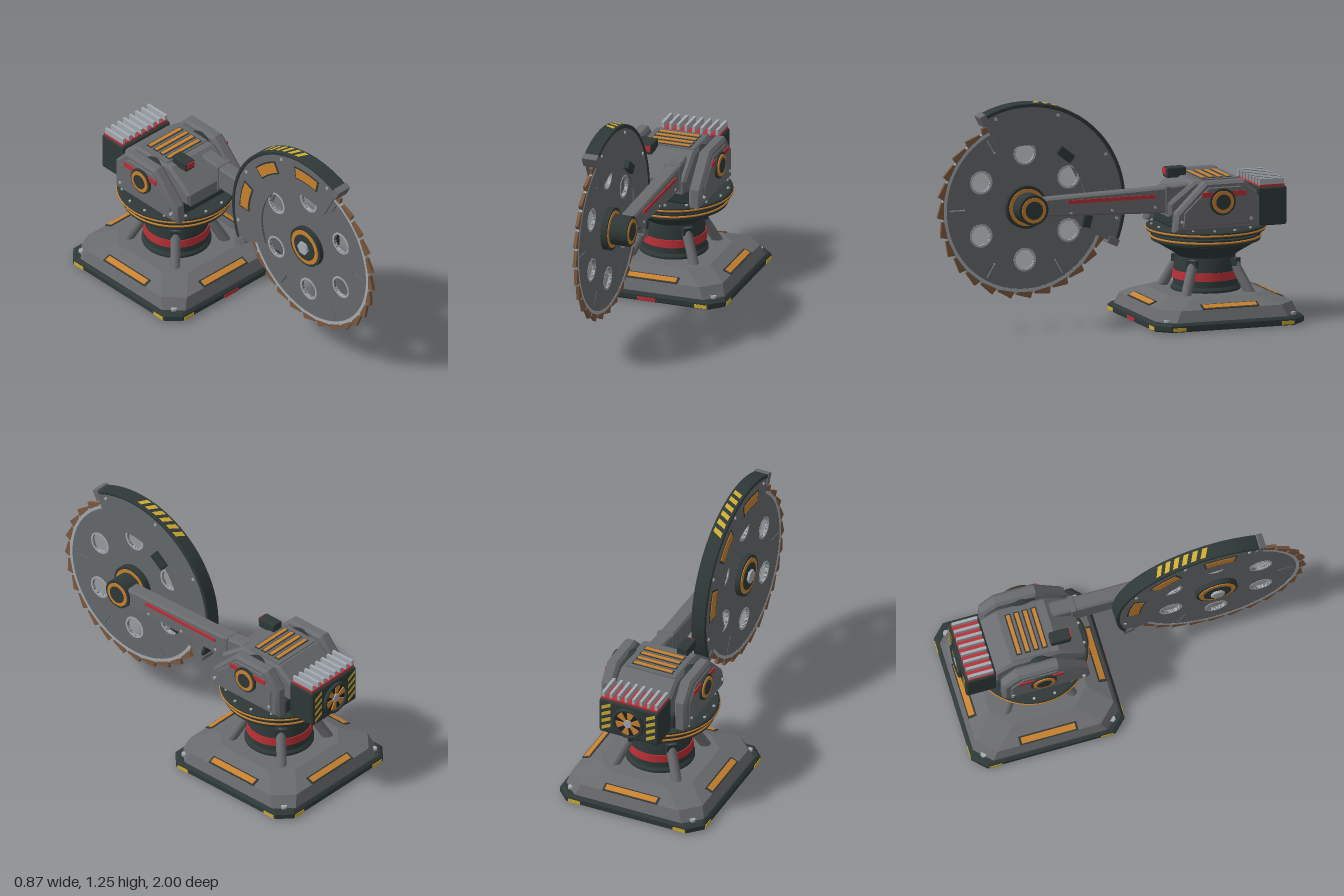
import * as THREE from 'three';
import { toCreasedNormals } from 'three/addons/utils/BufferGeometryUtils.js';
import { RoundedBoxGeometry } from 'three/addons/geometries/RoundedBoxGeometry.js';

const PI = Math.PI;
const mat = (name, color, side = THREE.FrontSide) => Object.assign(new THREE.MeshStandardMaterial({ color, side }), { name });
const grey = mat('body grey', 0x6a6b6e), dark = mat('dark steel', 0x2f3838), steel = mat('blade steel', 0x66696c);
const light = mat('light metal', 0xa4abb2), orange = mat('orange', 0xc9812f), red = mat('red', 0xb83036);
const yellow = mat('hazard yellow', 0xcdab30, THREE.DoubleSide), brown = mat('carbide brown', 0x7c5a40), black = mat('black', 0x1b2022);

function add(parent, name, geo, material, x = 0, y = 0, z = 0) {
  const m = new THREE.Mesh(geo, material);
  m.name = name;
  m.position.set(x, y, z);
  parent.add(m);
  return m;
}
// Box given by its extents
const box = (p, name, m, x0, x1, y0, y1, z0, z1, r = 0) => add(p, name,
  r ? new RoundedBoxGeometry(x1 - x0, y1 - y0, z1 - z0, 2, r) : new THREE.BoxGeometry(x1 - x0, y1 - y0, z1 - z0),
  m, (x0 + x1) / 2, (y0 + y1) / 2, (z0 + z1) / 2);
// Disc on a sideways axle
const axle = (p, name, m, r, x0, x1, y, z, n = 40) => add(p, name,
  new THREE.CylinderGeometry(r, r, Math.abs(x1 - x0), n).rotateZ(PI / 2), m, (x0 + x1) / 2, y, z);
// Extrusion between two depths, with an inset bevel
function slab(shape, d0, d1, b = 0) {
  const g = new THREE.ExtrudeGeometry(shape, { depth: d1 - d0 - 2 * b, bevelEnabled: b > 0, bevelSize: b,
    bevelThickness: b, bevelOffset: -b, bevelSegments: 1, curveSegments: 48 });
  return toCreasedNormals(g.translate(0, 0, d0 + b), 0.5);
}
// Profile of [z, y] points extruded along x
const side = (pts, x0, x1, b) => slab(new THREE.Shape(pts.map(([z, y]) => new THREE.Vector2(-z, y))), x0, x1, b).rotateY(PI / 2);
const turned = pts => toCreasedNormals(new THREE.LatheGeometry(pts.map(p => new THREE.Vector2(...p)), 56), 0.4);

// Stack of corner-cut squares: [half width, corner cut, y]
function loft(levels) {
  const v = [], rings = levels.map(([h, c, y]) => [[h, h - c], [h - c, h], [c - h, h], [-h, h - c],
    [-h, c - h], [c - h, -h], [h - c, -h], [h, c - h]].map(([x, z]) => [x, y, z]));
  const tri = (...p) => p.forEach(q => v.push(...q));
  for (let k = 0; k < rings.length - 1; k++) for (let i = 0; i < 8; i++) {
    const a = rings[k][i], b = rings[k][(i + 1) % 8], c = rings[k + 1][(i + 1) % 8], d = rings[k + 1][i];
    tri(a, d, c); tri(a, c, b);
  }
  const lo = rings[0], hi = rings[rings.length - 1];
  for (let i = 1; i < 7; i++) { tri(lo[0], lo[i], lo[i + 1]); tri(hi[0], hi[i + 1], hi[i]); }
  const g = new THREE.BufferGeometry();
  g.setAttribute('position', new THREE.Float32BufferAttribute(v, 3));
  g.computeVertexNormals();
  return g;
}
// Ring sector in degrees
function sector(r0, r1, a0, a1) {
  const s = new THREE.Shape();
  s.absarc(0, 0, r1, a0 * PI / 180, a1 * PI / 180, false);
  s.absarc(0, 0, r0, a1 * PI / 180, a0 * PI / 180, true);
  s.closePath();
  return s;
}
function disc(r, hole) {
  const s = new THREE.Shape().absarc(0, 0, r, 0, 2 * PI);
  if (hole) s.holes.push(new THREE.Path().absarc(0, 0, hole, 0, 2 * PI, true));
  return s;
}

function makeBase() {
  const g = new THREE.Group();
  g.name = 'base';
  add(g, 'basePlate', loft([[0.425, 0.07, 0], [0.433, 0.07, 0.008], [0.433, 0.07, 0.034], [0.42, 0.07, 0.048]]), dark);
  add(g, 'baseCover', loft([[0.413, 0.09, 0.047], [0.392, 0.1, 0.11], [0.275, 0.1, 0.157]]), grey);
  // Four sides: slanted light strips, yellow markers, bolts and struts
  for (let i = 0; i < 4; i++) {
    const q = new THREE.Group();
    q.name = 'baseSide';
    q.rotation.y = i * PI / 2;
    g.add(q);
    add(q, 'stripFrame', new THREE.BoxGeometry(0.33, 0.006, 0.05), dark, 0, 0.12, 0.369).rotation.x = 0.38;
    add(q, 'lightStrip', new THREE.BoxGeometry(0.306, 0.008, 0.034), orange, 0, 0.122, 0.37).rotation.x = 0.38;
    for (const s of [-1, 1]) box(q, 'cornerMarker', yellow, s * 0.315 - 0.036, s * 0.315 + 0.036, 0.006, 0.026, 0.43, 0.436);
    add(q, 'cornerBolt', new THREE.CylinderGeometry(0.018, 0.018, 0.016, 6), light, 0.365, 0.054, 0.365);
    add(q, 'footSocket', new THREE.CylinderGeometry(0.018, 0.018, 0.006, 16), black, 0.28, 0, 0.28);
    const path = new THREE.LineCurve3(new THREE.Vector3(0.195, 0.13, 0.195), new THREE.Vector3(0.112, 0.325, 0.112));
    add(q, 'strut', new THREE.TubeGeometry(path, 1, 0.028, 14), grey);
    const clamp = add(q, 'strutClamp', new THREE.BoxGeometry(0.06, 0.04, 0.07), dark, 0.112, 0.315, 0.112);
    clamp.rotation.y = PI / 4;
  }
  box(g, 'frontMarker', red, -0.053, 0.053, 0.006, 0.026, 0.43, 0.436);
  add(g, 'undersideRing', slab(disc(0.152, 0.108), 0, 0.006).rotateX(PI / 2), orange, 0, 0.002, 0);
  add(g, 'undersideCap', new THREE.CylinderGeometry(0.055, 0.055, 0.006, 32), steel);
  // Column, red band and flared turntable
  add(g, 'column', turned([[0.19, 0.15], [0.19, 0.17], [0.178, 0.185], [0.172, 0.3], [0.16, 0.345], [0.175, 0.36], [0.265, 0.415],
    [0.285, 0.425], [0.285, 0.44], [0.27, 0.44]]), dark);
  add(g, 'columnBand', new THREE.CylinderGeometry(0.179, 0.183, 0.044, 56), red, 0, 0.243, 0);
  add(g, 'turntable', turned([[0.2, 0.43], [0.297, 0.43], [0.3, 0.435], [0.3, 0.468], [0.28, 0.476], [0.318, 0.48], [0.324, 0.485],
    [0.324, 0.51], [0.315, 0.517], [0, 0.517]]), dark);
  for (const [r, y] of [[0.3, 0.452], [0.323, 0.496]])
    add(g, 'turntableRing', new THREE.TorusGeometry(r, 0.006, 8, 56).rotateX(PI / 2), orange, 0, y, 0);
  for (let i = 0; i < 16; i++)
    add(g, 'turntableBolt', new THREE.CylinderGeometry(0.008, 0.008, 0.01, 6), light, 0.3 * Math.cos((i + 0.5) * PI / 8), 0.52, 0.3 * Math.sin((i + 0.5) * PI / 8));
  g.position.z = -0.565;
  return g;
}

function makeHousing() {
  const g = new THREE.Group();
  g.name = 'housing';
  box(g, 'housingFoot', dark, -0.19, 0.19, 0.515, 0.6, -0.79, -0.33, 0.012);
  add(g, 'housingBody', side([[-0.29, 0.59], [-0.29, 0.665], [-0.44, 0.778], [-0.71, 0.778], [-0.81, 0.7], [-0.81, 0.59]], -0.168, 0.168, 0.015), grey);
  axle(g, 'pivotShaft', dark, 0.1, -0.19, 0.19, 0.677, -0.561);
  box(g, 'ventPanel', steel, -0.15, 0.15, 0.772, 0.784, -0.7, -0.48);
  for (let i = 0; i < 4; i++) {
    const z = -0.655 + i * 0.0485;
    box(g, 'ventFrame', dark, -0.122, 0.122, 0.78, 0.786, z - 0.017, z + 0.017);
    box(g, 'ventSlat', orange, -0.115, 0.115, 0.78, 0.79, z - 0.01, z + 0.01);
  }
  box(g, 'sensor', dark, -0.121, -0.054, 0.765, 0.822, -0.475, -0.362, 0.008);
  box(g, 'sensorLens', red, -0.114, -0.061, 0.785, 0.816, -0.364, -0.356);
  // Cheek plates with pivot caps on both sides
  const cheek = [[-0.29, 0.517], [-0.3, 0.62], [-0.47, 0.788], [-0.7, 0.788], [-0.785, 0.69], [-0.785, 0.517]];
  const inset = cheek.map(([z, y]) => [-0.545 + (z + 0.545) * 0.82, 0.65 + (y - 0.65) * 0.78]);
  for (const s of [-1, 1]) {
    const span = (a, b) => s > 0 ? [a, b] : [-b, -a];
    add(g, 'cheekPlate', side(cheek, ...span(0.183, 0.257), 0.016), grey);
    add(g, 'cheekPanel', side(inset, ...span(0.24, 0.264), 0.005), grey);
    box(g, 'cheekStripe', red, ...span(0.262, 0.27), 0.705, 0.732, -0.7, -0.445);
    axle(g, 'pivotCap', dark, 0.074, s * 0.25, s * 0.277, 0.677, -0.561);
    axle(g, 'pivotRing', orange, 0.062, s * 0.25, s * 0.283, 0.677, -0.561);
    axle(g, 'pivotCore', dark, 0.042, s * 0.25, s * 0.286, 0.677, -0.561);
    for (const [z, y] of [[-0.33, 0.575], [-0.73, 0.575]]) axle(g, 'cheekBolt', light, 0.009, s * 0.25, s * 0.27, y, z, 8);
  }
  // Rear motor with cooling fins
  box(g, 'rearMotor', dark, -0.178, 0.178, 0.51, 0.725, -0.972, -0.8, 0.014);
  box(g, 'finBed', red, -0.17, 0.17, 0.715, 0.736, -0.96, -0.815);
  for (let i = 0; i < 8; i++) {
    const x = -0.158 + i * 0.0451;
    box(g, 'coolingFin', light, x - 0.008, x + 0.008, 0.73, 0.768, -0.958, -0.815);
  }
  // Rear fan
  const fan = new THREE.Group();
  fan.name = 'fan';
  fan.position.set(0, 0.615, -0.972);
  fan.rotation.y = PI;
  g.add(fan);
  add(fan, 'fanBack', slab(disc(0.085), -0.01, 0.003), black);
  add(fan, 'fanRing', slab(disc(0.092, 0.078), -0.01, 0.018, 0.003), dark);
  for (let i = 0; i < 6; i++) add(fan, 'fanBlade', slab(sector(0.02, 0.073, i * 60, i * 60 + 34), 0.004, 0.01), orange);
  add(fan, 'fanHub', slab(disc(0.023), 0, 0.015), light);
  // Hazard stripes either side of the fan
  for (const s of [-1, 1]) for (let i = 0; i < 4; i++) {
    const y = -0.085 + i * 0.044, w = 0.028, k = 0.03;
    const pts = [[-w, y], [w, y + k], [w, y + k + 0.023], [-w, y + 0.023]].map(p => new THREE.Vector2(...p));
    add(fan, 'rearHazardStripe', new THREE.ShapeGeometry(new THREE.Shape(pts)), yellow, s * 0.134, 0, 0.003);
  }
  return g;
}

function makeArm() {
  const g = new THREE.Group();
  g.name = 'arm';
  add(g, 'armBeam', side([[0.49, 0.635], [0.49, 0.73], [-0.25, 0.75], [-0.42, 0.765], [-0.42, 0.615], [-0.25, 0.61]], 0.05, 0.136, 0.01), grey);
  box(g, 'armStripe', red, 0.13, 0.143, 0.697, 0.716, -0.22, 0.29);
  for (const z of [0.27, 0.03, -0.22]) axle(g, 'armBolt', light, 0.008, 0.13, 0.14, 0.645, z, 8);
  box(g, 'armCollar', steel, 0.044, 0.142, 0.604, 0.757, -0.31, -0.28, 0.006);
  const y = 0.675, z = 0.49;
  axle(g, 'spindleMotor', dark, 0.084, 0.03, 0.146, y, z);
  axle(g, 'motorRing', orange, 0.07, 0.1, 0.15, y, z);
  axle(g, 'motorCap', dark, 0.05, 0.1, 0.152, y, z);
  axle(g, 'bladeFlange', dark, 0.118, -0.034, 0.042, y, z);
  for (const s of [-1, 1]) axle(g, 'flangeRing', orange, 0.103, 0, s * (s > 0 ? 0.046 : 0.038), y, z);
  axle(g, 'flangeCap', dark, 0.078, 0, -0.042, y, z);
  axle(g, 'spindleNut', light, 0.04, 0, -0.056, y, z, 6);
  return g;
}

function makeSaw() {
  // Built in its own plane, then turned to face sideways
  const g = new THREE.Group();
  g.name = 'saw';
  g.position.set(0, 0.675, 0.49);
  g.rotation.y = PI / 2;
  const blade = disc(0.458);
  for (let i = 0; i < 6; i++) {
    const a = i * PI / 3, b = a + PI / 6, at = (r, o) => [r * Math.cos(a) - o * Math.sin(a), r * Math.sin(a) + o * Math.cos(a)];
    blade.holes.push(new THREE.Path().absarc(0.294 * Math.cos(b), 0.294 * Math.sin(b), 0.054, 0, 2 * PI, true));
    blade.holes.push(new THREE.Path([[0.35, -0.008], [0.35, 0.008], [0.36, 0.003], [0.44, 0.003], [0.44, -0.003], [0.36, -0.003]]
      .map(([r, o]) => new THREE.Vector2(...at(r, o)))));
    add(g, 'holeRim', slab(disc(0.065, 0.054), -0.009, 0.009), light, 0.294 * Math.cos(b), 0.294 * Math.sin(b));
  }
  add(g, 'blade', slab(blade, -0.007, 0.007), steel);
  add(g, 'bladeRim', slab(disc(0.48, 0.455), -0.008, 0.008), light);
  const tooth = slab(new THREE.Shape([[0.472, -0.05], [0.486, -0.05], [0.51, 0.034], [0.472, 0.046]].map(p => new THREE.Vector2(...p))), -0.009, 0.009);
  for (let i = 0; i < 28; i++) add(g, 'tooth', tooth, brown).rotation.z = i * 2 * PI / 28;

  // Guard: two cheeks, rim, end blocks
  const at = (name, geo, m, r, deg, z) => {
    const a = deg * PI / 180;
    add(g, name, geo, m, r * Math.cos(a), r * Math.sin(a), z).rotation.z = a;
  };
  for (const s of [-1, 1]) {
    add(g, 'guardPlate', slab(sector(0.342, 0.56, -24, 117), s * 0.032 - 0.006, s * 0.032 + 0.006), steel);
    for (const d of [110, 70, 30, -10]) at('guardRivet', new THREE.CylinderGeometry(0.009, 0.009, 0.008, 10).rotateX(PI / 2), light, 0.53, d, s * 0.04);
  }
  add(g, 'guardRim', slab(sector(0.553, 0.574, -24, 117), -0.042, 0.042, 0.004), dark);
  for (const d of [-23.5, 116.5]) at('guardEnd', new RoundedBoxGeometry(0.065, 0.04, 0.088, 1, 0.004), grey, 0.55, d, 0);
  for (const d of [52, -13]) at('guardBracket', new RoundedBoxGeometry(0.05, 0.1, 0.032, 1, 0.006), dark, 0.357, d, 0.05);
  // Orange panels on the outer cheek
  for (const d of [12, 52, 92]) {
    add(g, 'panelFrame', slab(sector(0.437, 0.513, d - 11, d + 11), -0.041, -0.036), dark);
    add(g, 'guardPanel', slab(sector(0.446, 0.504, d - 9.8, d + 9.8), -0.044, -0.036), orange);
  }
  // Slanted hazard stripes wrapped around the rim
  for (let i = 0; i < 6; i++) {
    const p = new THREE.PlaneGeometry(0.03, 0.054, 3, 4), v = p.attributes.position;
    for (let k = 0; k < v.count; k++) {
      const a = (56.5 + i * 5.4) * PI / 180 + (v.getX(k) + v.getY(k) * 0.5) / 0.576;
      v.setXYZ(k, 0.576 * Math.cos(a), 0.576 * Math.sin(a), v.getY(k));
    }
    p.computeVertexNormals();
    add(g, 'guardHazardStripe', p, yellow);
  }
  return g;
}

export function createModel() {
  const model = new THREE.Group();
  model.name = 'sawTurret';
  model.add(makeBase(), makeHousing(), makeArm(), makeSaw());
  return model;
}
